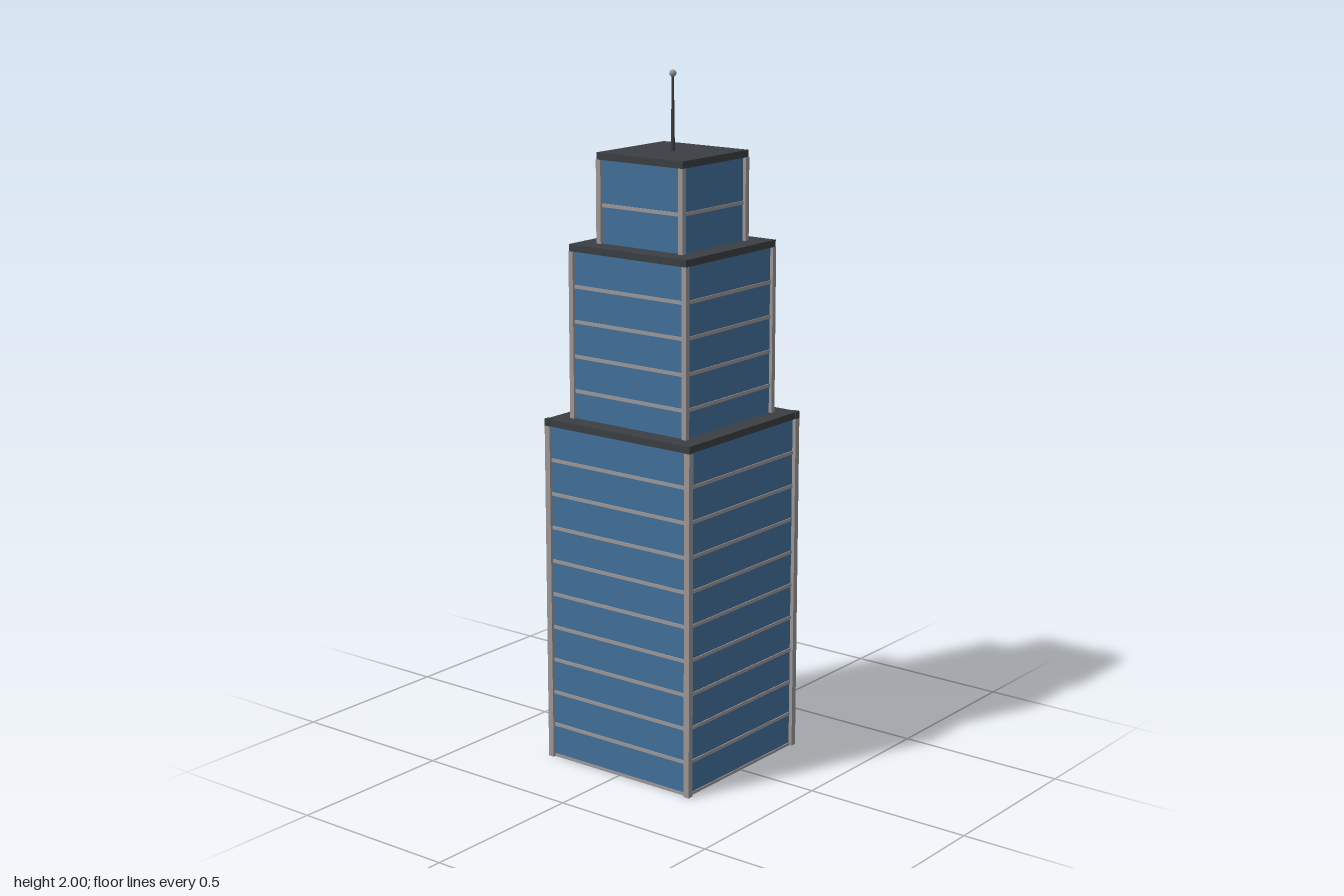
import * as THREE from 'three';

const paint = (name, color) => {
  const m = new THREE.MeshStandardMaterial({ color });
  m.name = name;
  return m;
};

export function createModel() {
  const glass = paint('blue glass', 0x41709a);
  const metal = paint('grey metal', 0x9c9798);
  const roofing = paint('dark roofing', 0x3b3e42);

  const tower = new THREE.Group();
  tower.name = 'tower';

  const add = (parent, name, geometry, material, x, y, z) => {
    const mesh = new THREE.Mesh(geometry, material);
    mesh.name = name;
    mesh.position.set(x, y, z);
    parent.add(mesh);
    return mesh;
  };
  const box = (parent, name, material, width, bottom, top, x = 0, z = 0) =>
    add(parent, name, new THREE.BoxGeometry(width, top - bottom, width), material, x, (bottom + top) / 2, z);

  // Stepped blocks: half width, bottom, top and heights of the floor bands
  const tiers = [
    { name: 'lowerTier', half: 0.25, bottom: 0, top: 1.0, post: 0.018, bands: [0.1, 0.2, 0.3, 0.4, 0.5, 0.6, 0.7, 0.8, 0.9] },
    { name: 'middleTier', half: 0.2, bottom: 1.0, top: 1.5, post: 0.015, bands: [1.1, 1.2, 1.3, 1.4] },
    { name: 'upperTier', half: 0.144, bottom: 1.5, top: 1.755, post: 0.016, bands: [1.628] },
  ];

  for (const { name, half, bottom, top, post, bands } of tiers) {
    const tier = new THREE.Group();
    tier.name = name;
    tower.add(tier);

    box(tier, 'glassBlock', glass, half * 2 - 0.004, bottom + 0.004, top);
    for (const y of bands) box(tier, 'floorBand', metal, half * 2 + 0.002, y - 0.005, y + 0.005);

    // Corner posts stand slightly proud of the roof edge
    for (const sx of [-1, 1]) {
      for (const sz of [-1, 1]) {
        box(tier, 'cornerPost', metal, post, bottom, top, sx * half, sz * half);
        if (name === 'lowerTier') box(tier, 'postCap', roofing, post, top, top + 0.021, sx * half, sz * half);
      }
    }
    box(tier, 'roofSlab', roofing, (half + 0.0065) * 2, top, top + 0.02);
  }

  // Ground plate closing the underside
  box(tower, 'basePlate', metal, 0.502, 0, 0.008);

  // Mast with a small ball on top
  add(tower, 'antennaMast', new THREE.CylinderGeometry(0.003, 0.006, 0.22, 12), roofing, 0, 1.88, 0);
  add(tower, 'antennaBall', new THREE.SphereGeometry(0.01, 16, 12), metal, 0, 1.99, 0);

  return tower;
}
